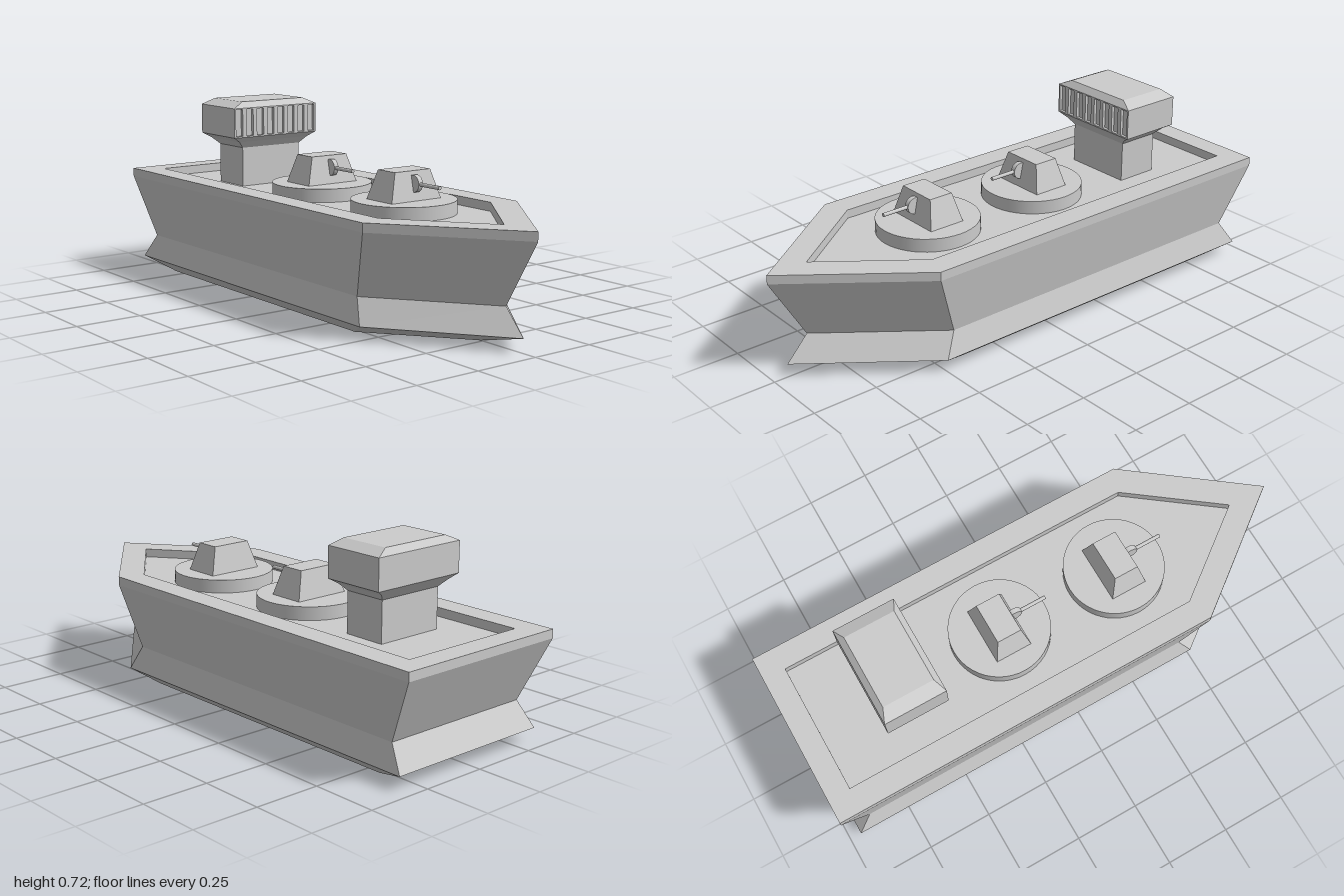
import * as THREE from 'three';

const grey = new THREE.MeshStandardMaterial({ color: 0xcccccc });
const flat = new THREE.MeshStandardMaterial({ color: 0xcccccc, flatShading: true });

function part(parent, name, geometry, material = grey, x = 0, y = 0, z = 0) {
  const mesh = new THREE.Mesh(geometry, material);
  mesh.name = name;
  mesh.position.set(x, y, z);
  parent.add(mesh);
  return mesh;
}

// Faceted skin through stacked rings [x, y, z], with both ends capped
function loft(rings) {
  const pos = [];
  const tri = (a, b, c) => pos.push(...a, ...b, ...c);
  const n = rings[0].length;
  for (let r = 0; r < rings.length - 1; r++) {
    for (let i = 0; i < n; i++) {
      const j = (i + 1) % n;
      const [a, b, c, d] = [rings[r][i], rings[r][j], rings[r + 1][j], rings[r + 1][i]];
      tri(a, b, c);
      tri(a, c, d);
    }
  }
  const bottom = rings[0], top = rings[rings.length - 1];
  for (let i = 1; i < n - 1; i++) {
    tri(bottom[0], bottom[i + 1], bottom[i]);
    tri(top[0], top[i], top[i + 1]);
  }
  const g = new THREE.BufferGeometry();
  g.setAttribute('position', new THREE.Float32BufferAttribute(pos, 3));
  g.computeVertexNormals();
  return g;
}

// Boat outline: half width, stern z, shoulder z, bow z
const boatRing = ([y, w, stern, shoulder, bow]) =>
  [[0, y, bow], [w, y, shoulder], [w, y, stern], [-w, y, stern], [-w, y, shoulder]];

// Rectangle: half width, back z, front z
const rectRing = ([y, w, back, front]) =>
  [[-w, y, front], [w, y, front], [w, y, back], [-w, y, back]];

function createTurret(name, z) {
  const g = new THREE.Group();
  g.name = name;
  g.position.z = z;
  part(g, 'turretBase', new THREE.CylinderGeometry(0.19, 0.19, 0.05, 48), grey, 0, 0.405, 0);
  part(g, 'turretHousing', loft([
    [0.43, 0.112, -0.072, 0.07],
    [0.535, 0.08, -0.048, 0.047],
  ].map(rectRing)), flat);
  const mantlet = new THREE.CylinderGeometry(0.031, 0.031, 0.019, 32).rotateZ(Math.PI / 2);
  part(g, 'gunMantlet', mantlet, grey, 0, 0.491, 0.061);
  const barrel = new THREE.CylinderGeometry(0.007, 0.007, 0.13, 16).rotateX(Math.PI / 2);
  part(g, 'gunBarrel', barrel, grey, 0, 0.491, 0.128);
  return g;
}

function createBridge() {
  const g = new THREE.Group();
  g.name = 'bridge';
  const face = -0.468, depth = 0.012;

  part(g, 'bridgeTower', loft([
    [0.38, 0.135, -0.668, -0.503],
    [0.533, 0.135, -0.668, -0.503],
  ].map(rectRing)), flat);
  part(g, 'bridgeFlare', loft([
    [0.533, 0.135, -0.668, -0.503],
    [0.558, 0.161, -0.69, -0.485],
    [0.578, 0.194, -0.708, face],
  ].map(rectRing)), flat);
  part(g, 'bridgeCabin', loft([
    [0.578, 0.194, -0.708, face - depth],
    [0.693, 0.194, -0.708, face - depth],
  ].map(rectRing)), flat);
  part(g, 'bridgeRoof', loft([
    [0.693, 0.194, -0.708, face],
    [0.716, 0.144, -0.686, -0.49],
  ].map(rectRing)), flat);

  // Front plate with a row of recessed windows
  const plate = new THREE.Shape([[-0.194, 0.578], [0.194, 0.578], [0.194, 0.693], [-0.194, 0.693]]
    .map(([x, y]) => new THREE.Vector2(x, y)));
  const hw = 0.0155, y0 = 0.583, y1 = 0.688, r = 0.003;
  for (let i = 0; i < 8; i++) {
    const x = (i - 3.5) * 0.0489;
    const hole = new THREE.Path();
    hole.absarc(x + hw - r, y1 - r, r, 0, Math.PI / 2);
    hole.absarc(x - hw + r, y1 - r, r, Math.PI / 2, Math.PI);
    hole.absarc(x - hw + r, y0 + r, r, Math.PI, Math.PI * 1.5);
    hole.absarc(x + hw - r, y0 + r, r, Math.PI * 1.5, Math.PI * 2);
    hole.closePath();
    plate.holes.push(hole);
  }
  const geo = new THREE.ExtrudeGeometry(plate, { depth, bevelEnabled: false, curveSegments: 3 });
  part(g, 'bridgeWindowFrame', geo, flat, 0, 0, face - depth);
  return g;
}

export function createModel() {
  const ship = new THREE.Group();
  ship.name = 'warship';

  // Hull rises to the rim, then turns inward and down to the sunken deck
  part(ship, 'hull', loft([
    [0, 0.27, -0.805, 0.395, 0.74],
    [0.05, 0.333, -0.955, 0.503, 0.945],
    [0.142, 0.307, -0.893, 0.456, 0.86],
    [0.38, 0.35, -1, 0.54, 1],
    [0.413, 0.35, -1, 0.54, 1],
    [0.413, 0.256, -0.912, 0.504, 0.843],
    [0.38, 0.256, -0.912, 0.504, 0.843],
  ].map(boatRing)), flat);

  ship.add(createTurret('frontTurret', 0.33), createTurret('rearTurret', -0.16), createBridge());
  return ship;
}
